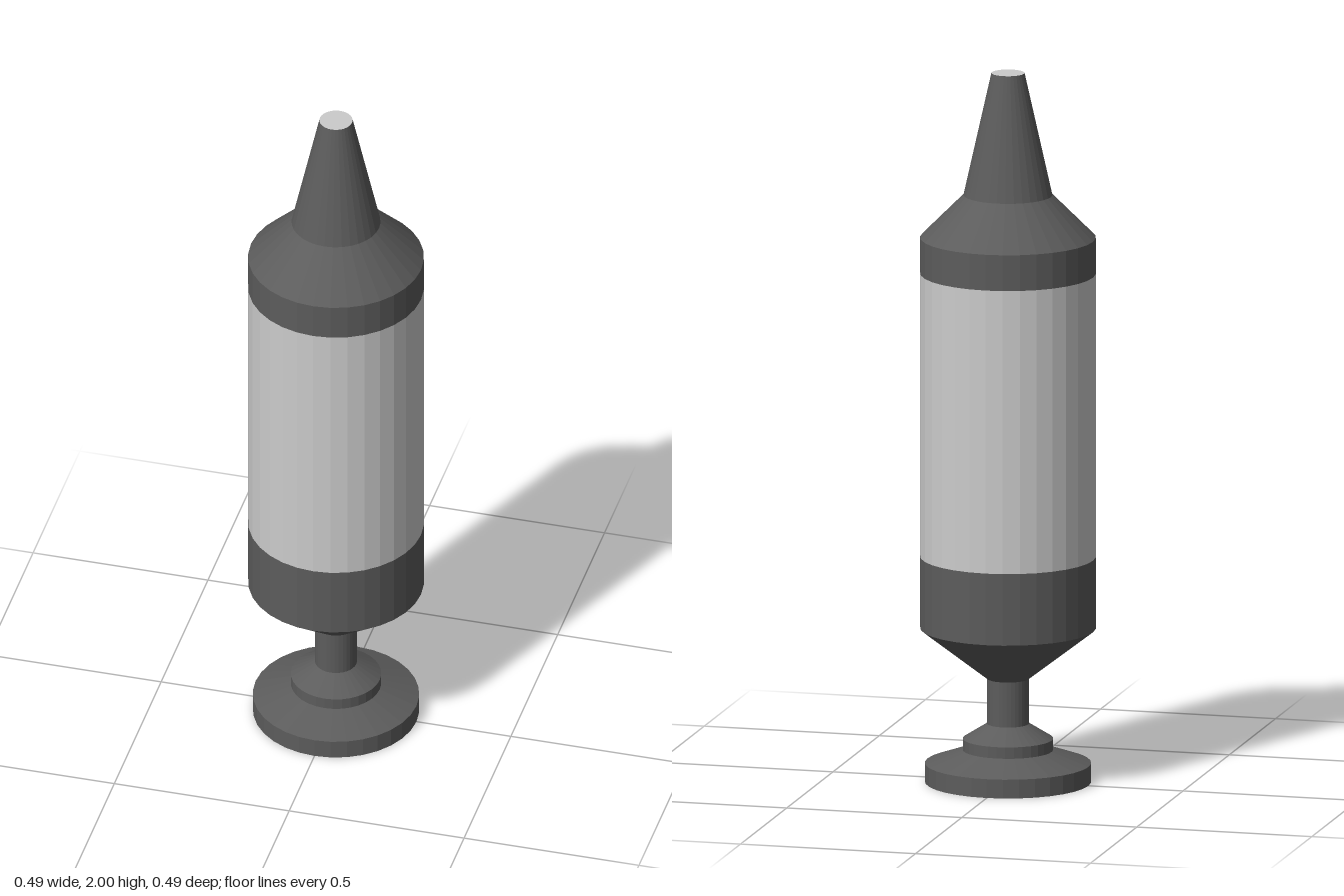
import * as THREE from 'three';

const SIDES = 32;
const dark = new THREE.MeshStandardMaterial({ color: 0x5c5c5c, flatShading: true });
const light = new THREE.MeshStandardMaterial({ color: 0xcccccc, flatShading: true });

// Turned part from [radius, height] pairs, listed bottom to top
function turned(name, profile, material) {
  const points = profile.map(([r, y]) => new THREE.Vector2(r, y));
  const mesh = new THREE.Mesh(new THREE.LatheGeometry(points, SIDES), material);
  mesh.name = name;
  return mesh;
}

export function createModel() {
  const model = new THREE.Group();
  model.name = 'capsule';
  const R = 0.243;

  model.add(
    // Stepped foot, closed underneath
    turned('foot', [[0, 0], [0.23, 0], [0.23, 0.053], [0.125, 0.09], [0.125, 0.122], [0.058, 0.164]], dark),
    turned('stem', [[0.058, 0.164], [0.058, 0.291]], dark),
    // Funnel and band below the barrel
    turned('lowerCollar', [[0.058, 0.291], [R, 0.434], [R, 0.636]], dark),
    turned('barrel', [[R, 0.636], [R, 1.435]], light),
    // Band and shoulder above the barrel
    turned('upperCollar', [[R, 1.435], [R, 1.536], [0.123, 1.656]], dark),
    turned('nozzle', [[0.123, 1.656], [0.046, 2]], dark),
    // Flat pale end of the nozzle
    turned('tip', [[0.046, 2], [0, 2]], light),
  );
  return model;
}
